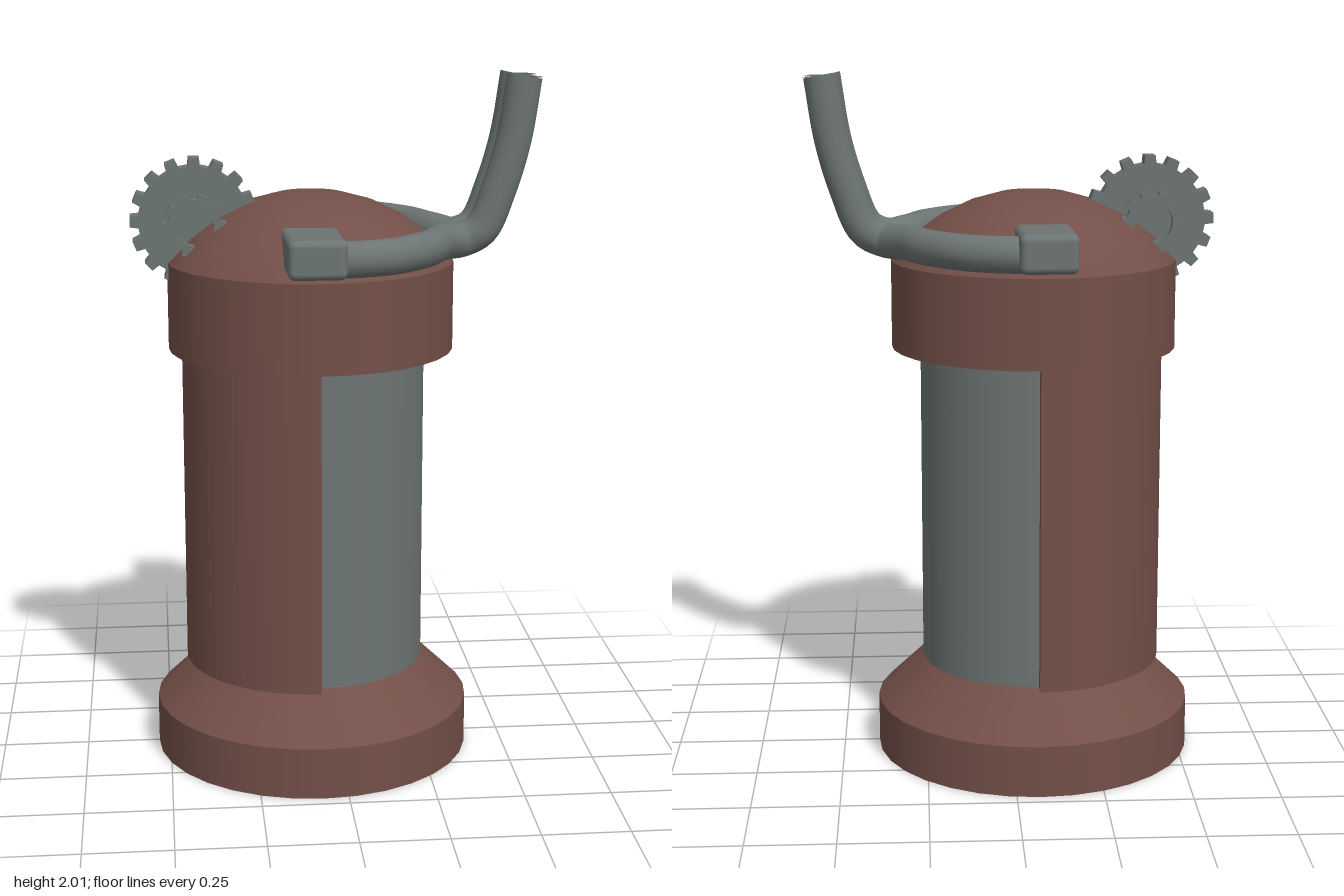
import * as THREE from 'three';
import { RoundedBoxGeometry } from 'three/addons/geometries/RoundedBoxGeometry.js';

const AXIS_X = -0.07;
const SIDES = 32;

export function createModel() {
  const model = new THREE.Group();
  const brown = new THREE.MeshStandardMaterial({ name: 'red brown', color: 0x734f48 });
  const grey = new THREE.MeshStandardMaterial({ name: 'metal grey', color: 0x6c7573 });

  function add(name, geometry, material, x = 0, y = 0, z = 0) {
    const mesh = new THREE.Mesh(geometry, material);
    mesh.name = name;
    mesh.position.set(x, y, z);
    model.add(mesh);
    return mesh;
  }

  // Upright drum centred on the body axis
  function drum(name, rTop, rBottom, y0, y1, material) {
    add(name, new THREE.CylinderGeometry(rTop, rBottom, y1 - y0, SIDES), material, AXIS_X, (y0 + y1) / 2);
  }

  // Body
  drum('basePlinth', 0.465, 0.465, 0, 0.15, brown);
  drum('baseSlope', 0.33, 0.465, 0.15, 0.28, brown);
  drum('innerCore', 0.33, 0.33, 0.28, 1.22, grey);
  drum('topCollar', 0.413, 0.413, 1.22, 1.475, brown);

  // Half shell around the -x side of the core
  const shell = new THREE.Shape();
  shell.absarc(0, 0, 0.375, Math.PI / 2, Math.PI * 1.5, false);
  shell.absarc(0, 0, 0.325, Math.PI * 1.5, Math.PI / 2, true);
  const shellGeometry = new THREE.ExtrudeGeometry(shell, { depth: 0.94, bevelEnabled: false, curveSegments: 24 });
  shellGeometry.rotateX(-Math.PI / 2);
  add('outerShell', shellGeometry, brown, AXIS_X, 0.28);

  // Shallow dome
  const domeR = 0.52;
  add('dome', new THREE.SphereGeometry(domeR, SIDES, 5, 0, Math.PI * 2, 0, Math.asin(0.41 / domeR)),
    brown, AXIS_X, 1.675 - domeR);

  // Toothed wheel in the xy plane
  function gear(name, outer, root, hole, teeth, depth, z, phase) {
    const shape = new THREE.Shape();
    const step = (Math.PI * 2) / teeth;
    for (let i = 0; i < teeth; i++) {
      [[0, root], [0.42, root], [0.5, outer], [0.92, outer]].forEach(([t, r], k) => {
        const a = (i + t) * step + phase;
        shape[i + k ? 'lineTo' : 'moveTo'](r * Math.cos(a), r * Math.sin(a));
      });
    }
    shape.closePath();
    if (hole) shape.holes.push(new THREE.Path().absarc(0, 0, hole, 0, Math.PI * 2, true));
    const geometry = new THREE.ExtrudeGeometry(shape, { depth, bevelEnabled: false, curveSegments: 10 });
    add(name, geometry, grey, -0.405, 1.59, z - depth / 2);
  }
  gear('largeGear', 0.183, 0.158, 0, 16, 0.068, -0.005, 0.1);
  gear('smallGearFront', 0.09, 0.076, 0.055, 10, 0.03, 0.1, 0.2);
  gear('smallGearBack', 0.09, 0.076, 0.055, 10, 0.03, -0.105, 0.2);

  // Brackets and pipes, front (+1) and back (-1)
  const pipeR = 0.051, boreR = 0.034;
  for (const side of [1, -1]) {
    const label = side > 0 ? 'Front' : 'Back';

    const bracket = add('bracket' + label, new RoundedBoxGeometry(0.16, 0.108, 0.3, 3, 0.02), grey,
      side > 0 ? -0.09 : -0.083, 1.55, side > 0 ? 0.34 : -0.344);
    bracket.rotation.y = 0.02;

    const endZ = side > 0 ? 0.065 : -0.04;
    const path = new THREE.CatmullRomCurve3([
      [-0.04, 1.54, side * 0.408],
      [0.02, 1.54, side * 0.404],
      [0.13, 1.54, side * 0.36],
      [0.235, 1.54, side * 0.248],
      [0.295, 1.538, side * 0.125],
      [0.36, 1.536, endZ],
      [0.415, 1.565, endZ],
      [0.465, 1.68, endZ],
      [0.505, 1.82, endZ],
      [0.533, 2.0, endZ],
    ].map((p) => new THREE.Vector3(...p)), false, 'centripetal');
    add('pipe' + label, new THREE.TubeGeometry(path, 64, pipeR, 16), grey);

    // Open pipe mouth with a sunken plug
    const rim = new THREE.RingGeometry(boreR, pipeR, 16);
    rim.rotateX(-Math.PI / 2);
    add('pipeRim' + label, rim, grey, 0.533, 1.996, endZ);
    const bore = new THREE.CylinderGeometry(boreR, boreR, 0.03, 16, 1, true);
    bore.scale(-1, 1, 1);
    bore.setIndex(Array.from(bore.index.array));
    const boreMaterial = grey.clone();
    boreMaterial.side = THREE.DoubleSide;
    add('pipeBore' + label, bore, boreMaterial, 0.533, 1.981, endZ);
    const plug = new THREE.CircleGeometry(boreR, 16);
    plug.rotateX(-Math.PI / 2);
    add('pipePlug' + label, plug, brown, 0.533, 1.968, endZ);
  }

  return model;
}
